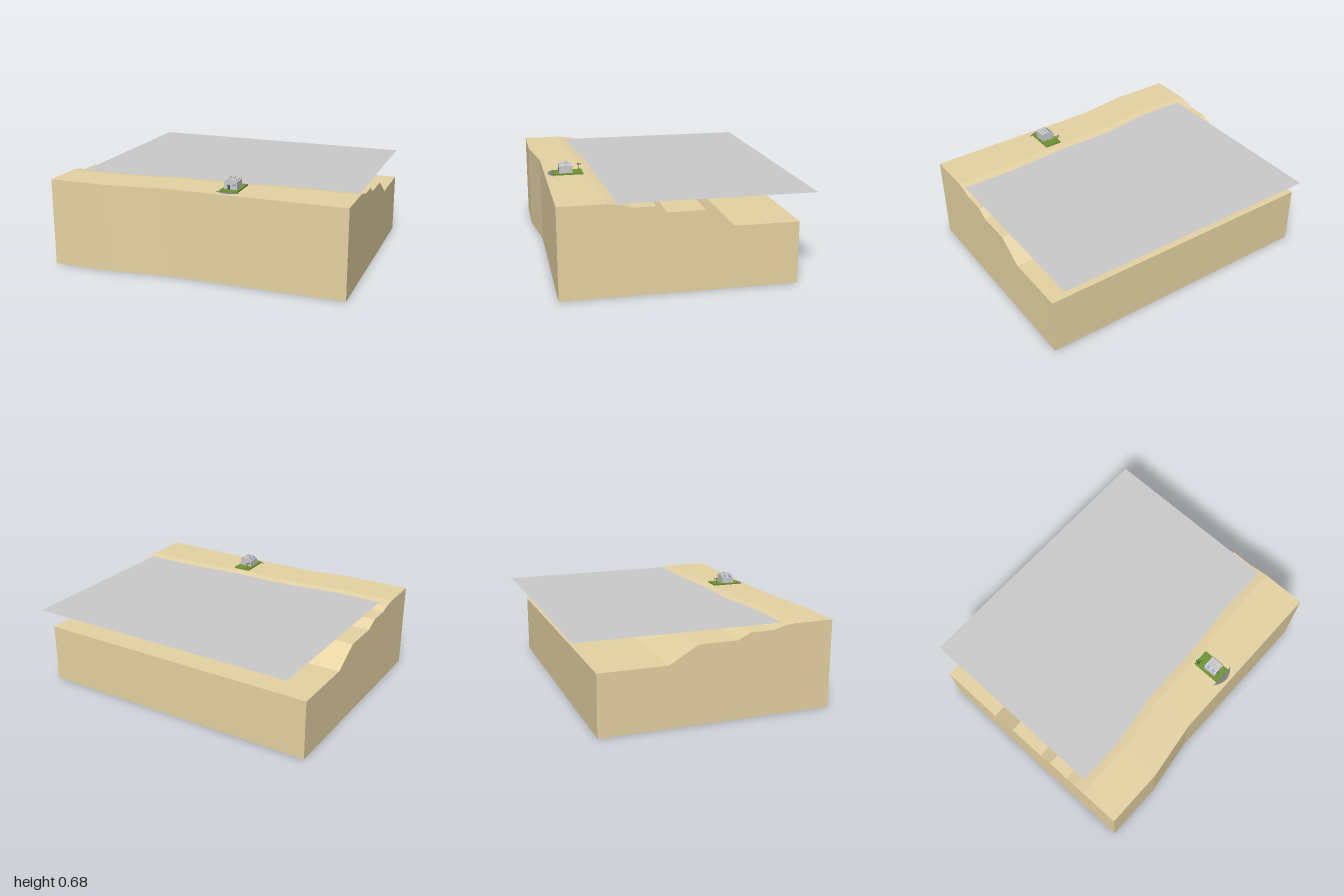
import * as THREE from 'three';

const mat = (color, side = THREE.FrontSide) =>
  new THREE.MeshStandardMaterial({ color, flatShading: true, side });

function add(parent, name, geometry, material, x = 0, y = 0, z = 0) {
  const mesh = new THREE.Mesh(geometry, material);
  mesh.name = name;
  mesh.position.set(x, y, z);
  parent.add(mesh);
  return mesh;
}

// Block of ground: a terraced z/y profile lofted along x
function terrainGeometry() {
  const columns = [-1, -0.6, -0.2, 0.2, 0.6, 1];
  const shift = [1, 1, 0.38, 0.38, 0, 0]; // how far the shore moves forward
  const frontZ = [0.84, 0.84, 0.787, 0.787, 0.787, 0.787];
  const profile = [ // z, y, forward shift
    [0.485, 0.593, 0.085], [0.4, 0.581, 0.085], [0.34, 0.562, 0.08],
    [0.19, 0.562, 0.08], [0.12, 0.52, 0.06], [-0.12, 0.52, 0.04],
    [-0.3, 0.408, 0.03], [-0.724, 0.408, 0],
  ];
  const rings = columns.map((x, i) => [
    [x, 0, frontZ[i]], [x, 0.593, frontZ[i]],
    ...profile.map(([z, y, d]) => [x, y, z + d * shift[i]]),
    [x, 0, -0.724],
  ]);
  const pos = [];
  const quad = (a, b, c, d) => pos.push(...a, ...b, ...c, ...a, ...c, ...d);
  const n = rings[0].length;
  for (let i = 0; i < columns.length - 1; i++)
    for (let j = 0; j < n; j++) {
      const k = (j + 1) % n;
      quad(rings[i][j], rings[i + 1][j], rings[i + 1][k], rings[i][k]);
    }
  // End walls
  const foot = (p) => [p[0], 0, p[2]];
  const [left, right] = [rings[0], rings[rings.length - 1]];
  for (let j = 1; j < n - 2; j++) {
    quad(foot(right[j]), foot(right[j + 1]), right[j + 1], right[j]);
    quad(foot(left[j + 1]), foot(left[j]), left[j], left[j + 1]);
  }
  const geo = new THREE.BufferGeometry();
  geo.setAttribute('position', new THREE.Float32BufferAttribute(pos, 3));
  geo.computeVertexNormals();
  return geo;
}

function createHouse() {
  const house = new THREE.Group();
  house.name = 'house';
  const grey = mat(0xcccccc), glass = mat(0x8f9fbd), dark = mat(0x4a4f5a);
  // Body: front outline with a sloping left shoulder, extruded in depth
  const outline = new THREE.Shape([
    [-0.045, 0], [0.045, 0], [0.045, 0.052], [0.038, 0.058],
    [-0.018, 0.058], [-0.045, 0.042],
  ].map(([x, y]) => new THREE.Vector2(x, y)));
  const body = new THREE.ExtrudeGeometry(outline, {
    depth: 0.09, bevelEnabled: false });
  body.translate(0, 0, -0.045);
  add(house, 'walls', body, grey);
  add(house, 'roof', new THREE.BoxGeometry(0.05, 0.006, 0.074), grey, 0.01, 0.06, 0);
  add(house, 'chimney', new THREE.BoxGeometry(0.02, 0.024, 0.024), grey, 0.005, 0.062, -0.005);
  // Sloping roof windows
  for (const z of [-0.02, 0.02]) {
    const pane = add(house, 'roofWindow', new THREE.BoxGeometry(0.024, 0.002, 0.03), glass, -0.0315, 0.0505, z);
    pane.rotation.z = Math.atan2(0.016, 0.027);
  }
  add(house, 'frontWindow', new THREE.BoxGeometry(0.022, 0.01, 0.002), glass, 0.026, 0.03, 0.045);
  add(house, 'door', new THREE.BoxGeometry(0.016, 0.03, 0.002), dark, -0.01, 0.015, 0.045);
  return house;
}

function createPalm() {
  const palm = new THREE.Group();
  palm.name = 'palm';
  add(palm, 'trunk', new THREE.CylinderGeometry(0.0015, 0.0025, 0.036, 6), mat(0x7a5a38), 0, 0.018, 0);
  const green = mat(0x2f5a1e, THREE.DoubleSide);
  const blade = new THREE.BufferGeometry();
  blade.setAttribute('position', new THREE.Float32BufferAttribute([
    0, 0, 0, 0.012, 0.006, 0.004, 0.012, 0.006, -0.004, 0.025, -0.004, 0], 3));
  blade.setIndex([0, 1, 2, 1, 3, 2]);
  blade.computeVertexNormals();
  for (let i = 0; i < 5; i++)
    add(palm, 'frond', blade, green, 0, 0.036, 0).rotation.y = (i * Math.PI * 2) / 5 + 0.6;
  return palm;
}

export function createModel() {
  const model = new THREE.Group();
  model.name = 'coast';
  add(model, 'ground', terrainGeometry(), mat(0xe6d4a4));

  // Flat water sheet reaching into the shore
  const water = new THREE.PlaneGeometry(1.91, 1.4).rotateX(-Math.PI / 2);
  add(model, 'water', water, mat(0xcccccc, THREE.DoubleSide), 0.025, 0.585, -0.145);

  // Lawn with a curved terrace lying in front
  add(model, 'lawn', new THREE.BoxGeometry(0.12, 0.01, 0.2), mat(0x6f9434), 0.212, 0.599, 0.632);
  const curve = new THREE.Shape();
  curve.moveTo(-0.09, 0);
  curve.quadraticCurveTo(0, -0.075, 0.09, 0);
  const terrace = new THREE.ShapeGeometry(curve, 10).rotateX(-Math.PI / 2);
  add(model, 'terrace', terrace, mat(0x808080, THREE.DoubleSide), 0.21, 0.596, 0.728);

  const house = createHouse();
  house.position.set(0.214, 0.604, 0.647);
  const palm = createPalm();
  palm.position.set(0.168, 0.604, 0.55);
  model.add(house, palm);
  return model;
}
